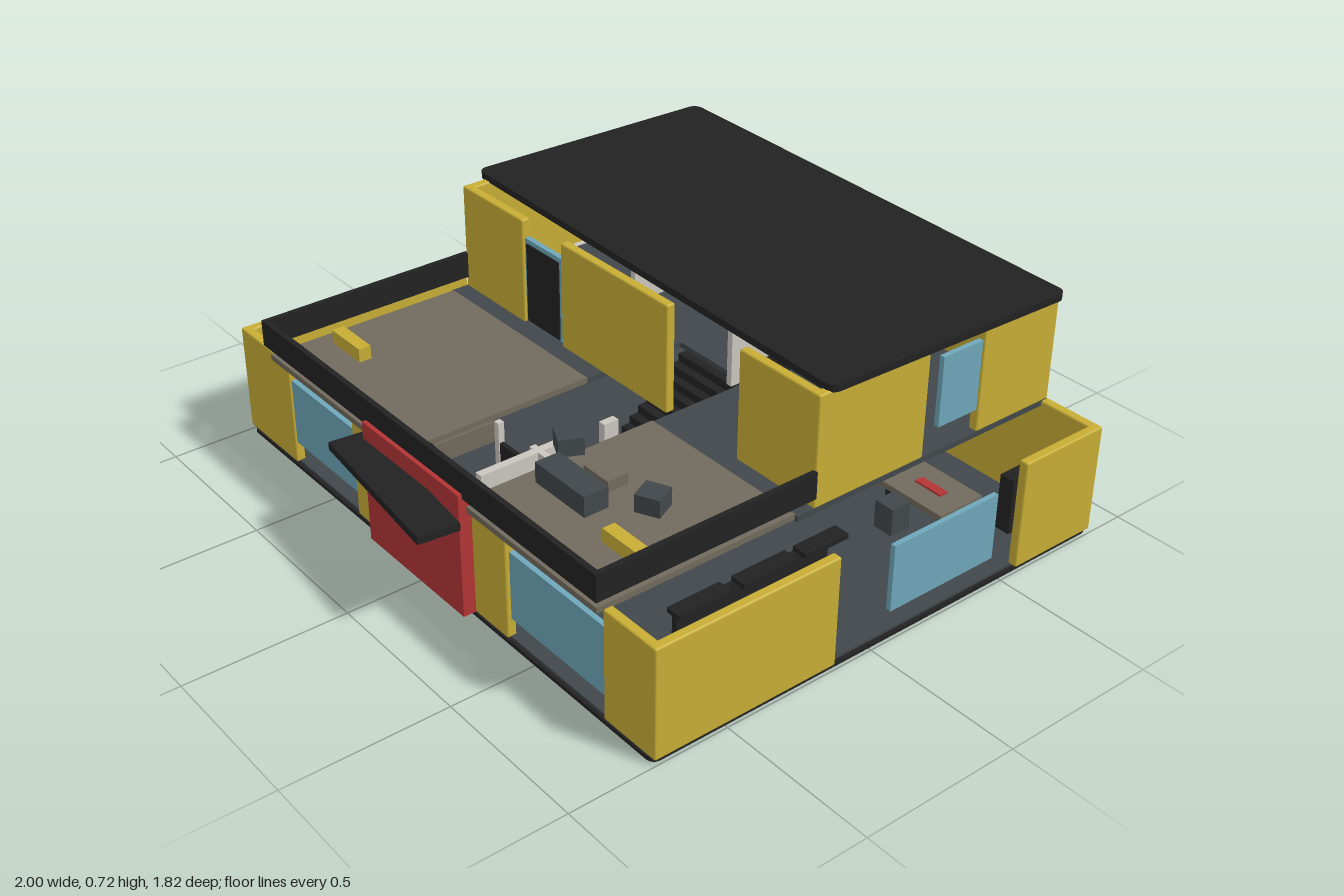
import * as THREE from 'three';
import { RoundedBoxGeometry } from 'three/addons/geometries/RoundedBoxGeometry.js';

const mat = (name, color) => {
  const m = new THREE.MeshStandardMaterial({ color });
  m.name = name;
  return m;
};

export function createModel() {
  const yellow = mat('yellow wall', 0xc8ae35), red = mat('red panel', 0xb23535);
  const blue = mat('blue glass', 0x6ea7b9), black = mat('black trim', 0x222222);
  const gray = mat('gray floor', 0x41474b), tan = mat('tan deck', 0x716a5d);
  const white = mat('white plaster', 0xcbc6bf);
  const model = new THREE.Group();
  model.name = 'twoStoreyHouse';

  const add = (name, geo, m, x = 0, y = 0, z = 0, ry = 0) => {
    const mesh = new THREE.Mesh(geo, m);
    mesh.name = name;
    mesh.position.set(x, y, z);
    mesh.rotation.y = ry;
    model.add(mesh);
    return mesh;
  };
  // Box given by its extents along each axis
  const span = (name, m, x0, x1, y0, y1, z0, z1, r = 0) => {
    const s = [x1 - x0, y1 - y0, z1 - z0];
    const geo = r ? new RoundedBoxGeometry(...s, 2, r) : new THREE.BoxGeometry(...s);
    return add(name, geo, m, (x0 + x1) / 2, (y0 + y1) / 2, (z0 + z1) / 2);
  };
  // Flat slab with rounded plan corners, turned about its centre
  const plate = (name, m, w, d, h, r, x, y, z, ry = 0) => {
    const s = new THREE.Shape(), a = w / 2, b = d / 2;
    s.moveTo(-a + r, -b);
    s.absarc(a - r, -b + r, r, -Math.PI / 2, 0);
    s.absarc(a - r, b - r, r, 0, Math.PI / 2);
    s.absarc(-a + r, b - r, r, Math.PI / 2, Math.PI);
    s.absarc(-a + r, -b + r, r, Math.PI, Math.PI * 1.5);
    const g = new THREE.ExtrudeGeometry(s, { depth: h, bevelEnabled: false, curveSegments: 5 });
    g.rotateX(-Math.PI / 2);
    return add(name, g, m, x, y, z, ry);
  };

  // Base and ground floor
  plate('base', black, 1.98, 1.61, 0.012, 0.025, 0, 0, -0.07);
  plate('groundFloor', gray, 1.96, 1.59, 0.008, 0.02, 0, 0.012, -0.07);

  // Ground floor outer walls
  const R = 0.006, g0 = 0.015, g1 = 0.36;
  for (const [a, b] of [[-1, -0.72], [-0.37, 0.38], [0.795, 1]])
    span('frontWall', yellow, a, b, g0, g1, 0.705, 0.735, R);
  for (const [a, b] of [[-1, -0.48], [0.29, 1]])
    span('backWall', yellow, a, b, g0, g1, -0.87, -0.84, R);
  for (const [a, b] of [[-0.87, -0.56], [0.13, 0.735]])
    span('leftWall', yellow, 0.97, 1, g0, g1, a, b, R);
  for (const [a, b] of [[-0.87, -0.27], [-0.07, 0.735]])
    span('rightWall', yellow, -1, -0.97, g0, g1, a, b, R);

  // Ground floor windows
  span('frontWindow', blue, -0.72, -0.37, 0.085, 0.3, 0.712, 0.728);
  span('frontWindow', blue, 0.39, 0.79, 0.085, 0.3, 0.712, 0.728);
  span('sideWindow', blue, 0.977, 0.993, 0.09, 0.3, -0.46, -0.07);
  span('backWindow', blue, -0.25, 0.055, 0.09, 0.3, -0.863, -0.847);

  // Upper floor slab, leaving the stair well open
  for (const [a, b, c, d] of [[-0.8, -0.1, -0.86, 0.1], [0.2, 0.8, -0.86, 0.1], [-0.1, 0.2, -0.86, -0.25]])
    span('upperFloor', gray, a, b, 0.345, 0.362, c, d);
  span('leftDeck', tan, 0.2, 0.79, 0.348, 0.366, 0.1, 0.75);
  span('rightDeck', tan, -0.79, -0.1, 0.348, 0.366, 0.1, 0.75);

  // Upper floor outer walls and windows
  const u0 = 0.36, u1 = 0.705;
  for (const [a, b] of [[-0.8, -0.49], [-0.3, 0.19], [0.49, 0.8]])
    span('upperFrontWall', yellow, a, b, u0, u1, 0.012, 0.042, R);
  for (const [a, b] of [[-0.8, -0.38], [0.19, 0.8]])
    span('upperBackWall', yellow, a, b, u0, u1, -0.865, -0.835, R);
  span('upperBackWindow', blue, -0.2, 0.1, 0.43, 0.65, -0.858, -0.842);
  for (const s of [-1, 1]) {
    const side = (name, m, w, y0, y1, z0, z1, r) =>
      span(name, m, s * 0.785 - w / 2, s * 0.785 + w / 2, y0, y1, z0, z1, r);
    side('upperSideWall', yellow, 0.03, u0, u1, -0.865, -0.57, R);
    side('upperSideWall', yellow, 0.03, u0, u1, -0.36, 0.042, R);
    side('upperSideWindow', blue, 0.016, 0.43, 0.65, -0.57, -0.42);
  }
  span('terraceDoorFrame', blue, -0.49, -0.31, 0.365, 0.645, 0.015, 0.032);
  span('terraceDoor', black, -0.48, -0.32, 0.37, 0.63, 0.03, 0.036);
  span('openDoor', black, 0.47, 0.485, 0.365, 0.63, -0.15, 0.01);

  // Roof
  plate('roof', black, 1.645, 0.86, 0.022, 0.03, 0, 0.702, -0.445, -0.03);

  // Terrace parapet
  span('parapetFront', black, -0.805, 0.805, 0.395, 0.478, 0.745, 0.762);
  for (const s of [-1, 1])
    span('parapetSide', black, s * 0.797 - 0.008, s * 0.797 + 0.008, 0.395, 0.478, 0.04, 0.76);

  // Entrance panel and canopy
  span('entrancePanel', red, -0.237, 0.232, 0.018, 0.41, 0.73, 0.775);
  add('canopy', new THREE.BoxGeometry(0.54, 0.024, 0.125), black, -0.005, 0.343, 0.828, -0.11);
  add('porchCeiling', new THREE.BoxGeometry(0.29, 0.024, 0.1), black, 0.04, 0.343, 0.705, -0.11);

  // Staircase
  const steps = 13;
  for (let i = 0; i < steps; i++) {
    const z = 0.145 - i * 0.031;
    span('stairStep', black, -0.08, 0.17, 0.02, 0.046 + i * 0.0245, z - 0.029, z);
  }

  // Inner walls and doors
  span('hallWall', white, 0.085, 0.11, 0.02, 0.345, 0.32, 0.62);
  span('hallWall', white, 0.085, 0.11, 0.02, 0.345, 0.15, 0.2);
  span('hallDoor', black, 0.091, 0.104, 0.02, 0.28, 0.2, 0.32);
  span('crossWall', white, -0.1, -0.08, 0.02, 0.345, 0.41, 0.43);
  span('crossWall', white, 0.07, 0.16, 0.02, 0.345, 0.41, 0.43);
  span('crossDoor', black, -0.08, 0.07, 0.02, 0.28, 0.413, 0.427);
  span('rearRoomWall', white, 0.17, 0.19, 0.02, 0.345, -0.83, -0.25);
  span('sideRoomWall', white, -0.85, -0.83, 0.02, 0.345, -0.65, -0.27);
  span('upperRoomWall', white, 0.17, 0.19, u0, u1, -0.83, -0.2);
  span('upperCrossWall', white, 0.19, 0.47, u0, u1, -0.62, -0.6);
  span('upperLeftWall', white, -0.4, -0.38, u0, u1, -0.83, -0.3);
  span('doorHandle', black, 0.275, 0.285, 0.56, 0.58, -0.6, -0.592);
  span('openDoor', black, 0.8, 0.818, 0.02, 0.26, 0.0, 0.52);
  span('openDoor', black, -0.73, -0.715, 0.02, 0.27, 0.4, 0.6);

  // High wall shelves
  for (const [a, b] of [[0, 0.15], [0.18, 0.36], [0.4, 0.57]])
    span('wallShelf', black, 0.84, 0.89, 0.3, 0.315, a, b);
  span('wallShelf', black, -0.93, -0.885, 0.3, 0.315, -0.39, -0.12);
  span('wallShelf', black, 0.49, 0.67, 0.308, 0.32, -0.15, -0.02);

  // Terrace furniture
  span('terraceSofa', gray, 0.25, 0.465, 0.366, 0.43, 0.46, 0.54);
  span('terraceTable', tan, 0.305, 0.41, 0.366, 0.4, 0.35, 0.42);
  for (const [x, ry] of [[0.175, -0.45], [0.54, 0.45]])
    add('terraceChair', new THREE.BoxGeometry(0.075, 0.055, 0.075), gray, x, 0.393, 0.372, ry);
  for (const x of [-0.66, 0.655])
    span('terraceBench', yellow, x - 0.075, x + 0.075, 0.366, 0.41, 0.53, 0.57);

  // Ground floor furniture
  span('diningTable', tan, 0.5, 0.78, 0.085, 0.105, -0.65, -0.48);
  for (const x of [0.53, 0.75]) span('tableLeg', black, x - 0.015, x + 0.015, 0.02, 0.085, -0.6, -0.53);
  span('tableRunner', red, 0.61, 0.71, 0.105, 0.111, -0.58, -0.55);
  span('diningChair', gray, 0.61, 0.68, 0.02, 0.11, -0.46, -0.39);
  span('loungeChair', gray, 0.83, 0.925, 0.03, 0.11, -0.51, -0.44);
  span('cabinet', black, 0.83, 0.88, 0.02, 0.2, -0.82, -0.66);
  span('bed', tan, -0.62, -0.44, 0.02, 0.09, 0.2, 0.5);
  span('bedsideCabinet', black, -0.7, -0.62, 0.02, 0.09, 0.3, 0.45);
  span('hallStool', red, -0.015, 0.015, 0.02, 0.07, 0.58, 0.61);
  span('upperChair', gray, 0.55, 0.62, 0.362, 0.46, -0.4, -0.35);
  span('upperChair', gray, 0.28, 0.33, 0.362, 0.5, -0.45, -0.4);
  return model;
}
